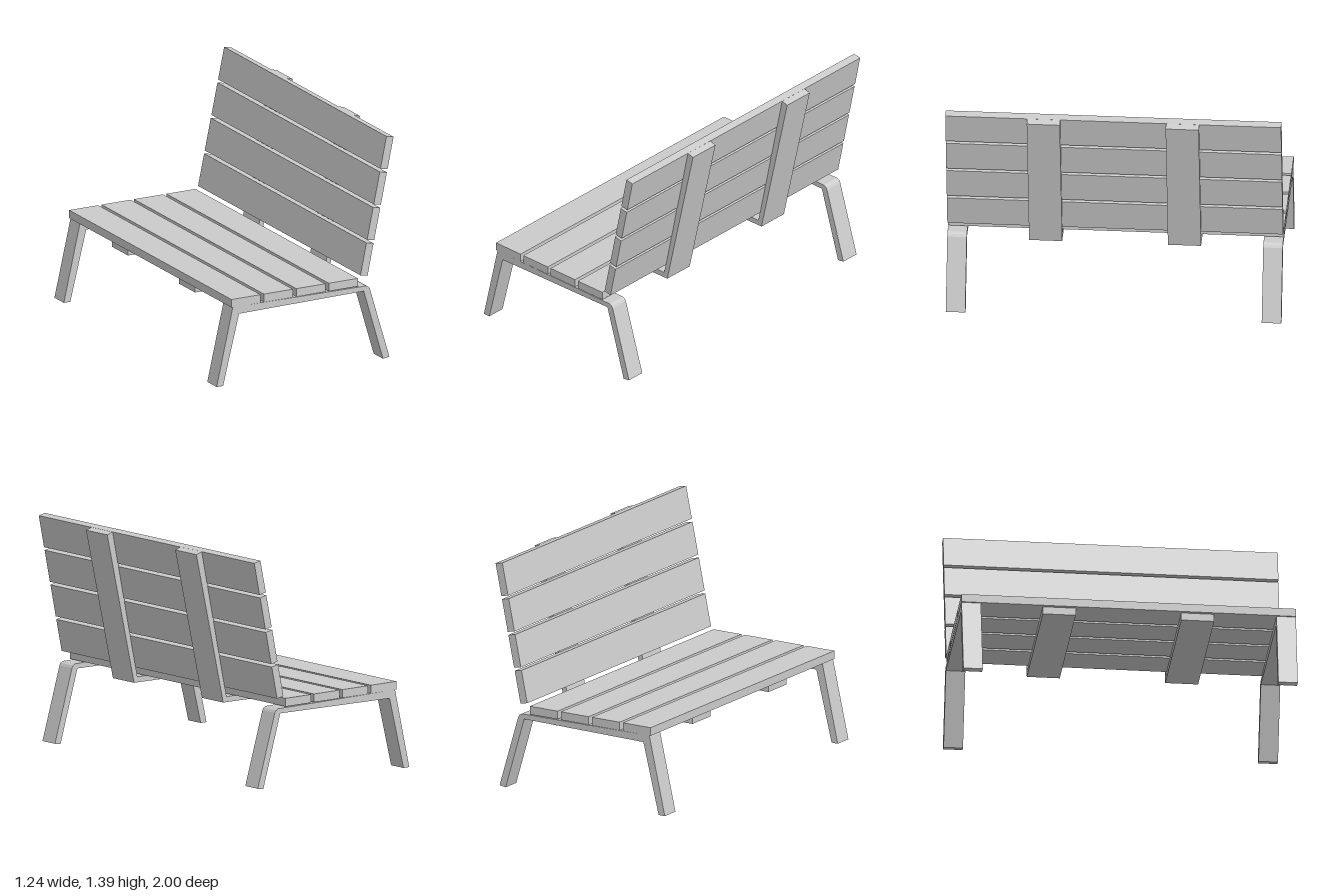
import * as THREE from 'three';

const material = new THREE.MeshStandardMaterial({ color: 0xcccccc, flatShading: true });

// Side profile in x/y, extruded along z between z0 and z1
function profile(name, points, z0, z1) {
  const shape = new THREE.Shape(points.map(([x, y]) => new THREE.Vector2(x, y)));
  const geometry = new THREE.ExtrudeGeometry(shape, { depth: z1 - z0, bevelEnabled: false });
  geometry.translate(0, 0, z0);
  const mesh = new THREE.Mesh(geometry, material);
  mesh.name = name;
  return mesh;
}

export function createModel() {
  const bench = new THREE.Group();
  bench.name = 'bench';

  // Four flat seat slats and four leaning back slats
  for (let i = 0; i < 4; i++) {
    const x = -0.522 + i * 0.22;
    bench.add(profile('seatSlat', [
      [x, 0.484], [x + 0.197, 0.484], [x + 0.197, 0.534], [x, 0.534],
    ], -1, 1));

    const dx = i * 0.0453, dy = i * 0.2145;
    bench.add(profile('backSlat', [
      [0.353, 0.55], [0.401, 0.54], [0.442, 0.736], [0.394, 0.746],
    ].map(([px, py]) => [px + dx, py + dy]), -1, 1));
  }

  // Bent leg frame at each end
  const legFrame = [
    [-0.622, 0.003], [-0.578, 0.003], [-0.47, 0.437], [0.376, 0.448],
    [0.507, 0.006], [0.55, 0.013], [0.418, 0.455], [0.41, 0.469],
    [0.394, 0.478], [-0.512, 0.484],
  ];
  // L-shaped brace running under the seat and up behind the back
  const brace = [
    [-0.5, 0.438], [0.411, 0.447], [0.619, 1.367], [0.574, 1.38],
    [0.386, 0.48], [-0.5, 0.484],
  ];
  for (const side of [-1, 1]) {
    const prefix = side > 0 ? 'front' : 'rear';
    const span = (a, b) => (side > 0 ? [a, b] : [-b, -a]);
    bench.add(profile(prefix + 'LegFrame', legFrame, ...span(0.883, 0.999)));
    bench.add(profile(prefix + 'BackBrace', brace, ...span(0.315, 0.512)));
  }

  return bench;
}
